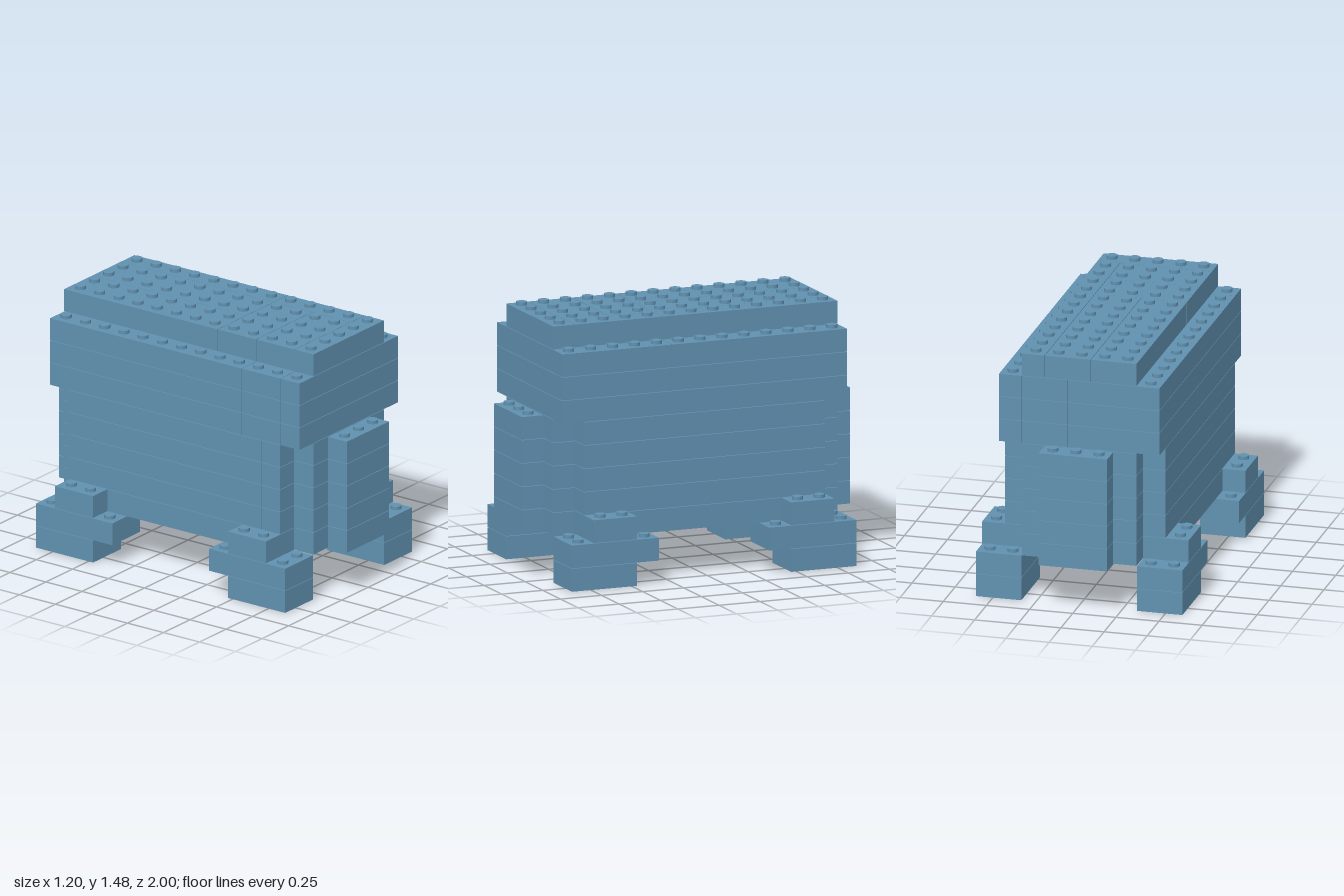
import * as THREE from 'three';

const U = 2 / 15;      // one stud pitch, also one layer height
const GAP = 0.003;     // seam between neighbouring bricks

const blue = new THREE.MeshStandardMaterial({ color: 0x6090af });
blue.name = 'steel blue';

const studGeometry = new THREE.CylinderGeometry(0.031, 0.031, 0.02, 20).translate(0, 0.01, 0);

// One brick; x and z edges in stud units, layer counted from the ground
function addBrick(parent, name, layer, [x0, x1, z0, z1]) {
  const geometry = new THREE.BoxGeometry((x1 - x0) * U - GAP, U - GAP, (z1 - z0) * U - GAP);
  const mesh = new THREE.Mesh(geometry, blue);
  mesh.name = name;
  mesh.position.set((x0 + x1) * U / 2, layer * U + (U - GAP) / 2, (z0 + z1) * U / 2);
  parent.add(mesh);
}

// One stud on top of a layer
function addStud(parent, layer, x, z) {
  const mesh = new THREE.Mesh(studGeometry, blue);
  mesh.name = 'stud';
  mesh.position.set(x * U, (layer + 1) * U - GAP, z * U);
  parent.add(mesh);
}

function addGroup(parent, name) {
  const group = new THREE.Group();
  group.name = name;
  parent.add(group);
  return group;
}

// Edges of a brick mirrored to the chosen side and end
function place([x0, x1, z0, z1], sx, sz) {
  const x = [x0 * sx, x1 * sx].sort((a, b) => a - b);
  const z = [z0 * sz, z1 * sz].sort((a, b) => a - b);
  return [...x, ...z];
}

export function createModel() {
  const model = new THREE.Group();
  model.name = 'brickModel';

  // Four stepped feet
  for (const sx of [-1, 1]) for (const sz of [-1, 1]) {
    const foot = addGroup(model, `${sz > 0 ? 'front' : 'back'}${sx > 0 ? 'Left' : 'Right'}Foot`);
    addBrick(foot, 'footSole', 0, place([2.5, 4.5, 3.5, 6.5], sx, sz));
    addBrick(foot, 'footStep', 1, place([2.5, 4.5, 2.5, 6.5], sx, sz));
    addBrick(foot, 'footTop', 2, place([2.5, 4.5, 3.5, 5.5], sx, sz));
    for (const [x, z] of [[3, 6], [4, 6], [4, 3]]) addStud(foot, 1, x * sx, z * sz);
    for (const z of [4, 5]) addStud(foot, 2, 4 * sx, z * sz);
  }

  // Body: floor layer, then four wall layers, with stepped ends
  const body = addGroup(model, 'body');
  for (const sx of [-1, 1]) addBrick(body, 'floorEdge', 2, place([2.5, 3.5, -3.5, 3.5], sx, 1));
  for (const edges of [[-2.5, -0.5, -5.5, 2.5], [-0.5, 1.5, -5.5, 2.5], [1.5, 2.5, -5.5, 2.5], [-2.5, 2.5, 2.5, 5.5]])
    addBrick(body, 'floor', 2, edges);
  for (let layer = 3; layer <= 6; layer++) {
    addBrick(body, 'core', layer, [-2.5, 2.5, -5.5, 5.5]);
    addBrick(body, 'leftWall', layer, [2.5, 3.5, -5.5, 2.5]);
    addBrick(body, 'leftWallFront', layer, [2.5, 3.5, 2.5, 5.5]);
    addBrick(body, 'rightWall', layer, [-3.5, -2.5, -5.5, 4.5]);
    addBrick(body, 'rightWallFront', layer, [-3.5, -2.5, 4.5, 5.5]);
  }
  for (const sz of [-1, 1]) {
    for (let layer = 2; layer <= 6; layer++) {
      addBrick(body, 'endStep', layer, place([-2.5, 2.5, 5.5, 6.5], 1, sz));
      addBrick(body, 'endColumn', layer, place([-1.5, 1.5, 6.5, 7.5], 1, sz));
    }
    for (const x of [-1, 0, 1]) addStud(body, 6, x, 7 * sz);
  }

  // Wide overhanging upper block
  const upper = addGroup(model, 'upperBlock');
  for (let layer = 7; layer <= 9; layer++) {
    for (const edges of [
      [2.5, 3.5, -6.5, 1.5], [2.5, 3.5, 1.5, 6.5],
      [0.5, 2.5, -6.5, 3.5], [-3.5, 0.5, -6.5, 3.5],
      [-3.5, 2.5, 3.5, 5.5], [-3.5, 2.5, 5.5, 6.5],
    ]) addBrick(upper, 'upperBrick', layer, edges);
  }

  // Narrower top deck
  const deck = addGroup(model, 'topDeck');
  for (const edges of [
    [-2.5, -0.5, -6.5, 1.5], [-0.5, 1.5, -6.5, 1.5], [1.5, 2.5, -6.5, 1.5],
    [-2.5, 1.5, 1.5, 3.5], [-2.5, 1.5, 3.5, 5.5], [1.5, 2.5, 1.5, 5.5],
    [-2.5, 2.5, 5.5, 6.5],
  ]) addBrick(deck, 'deckBrick', 10, edges);

  // Studs over the deck and along its side ledges
  for (let z = -6; z <= 6; z++) {
    for (let x = -2; x <= 2; x++) addStud(deck, 10, x, z);
    for (const x of [-3, 3]) addStud(upper, 9, x, z);
  }

  return model;
}
